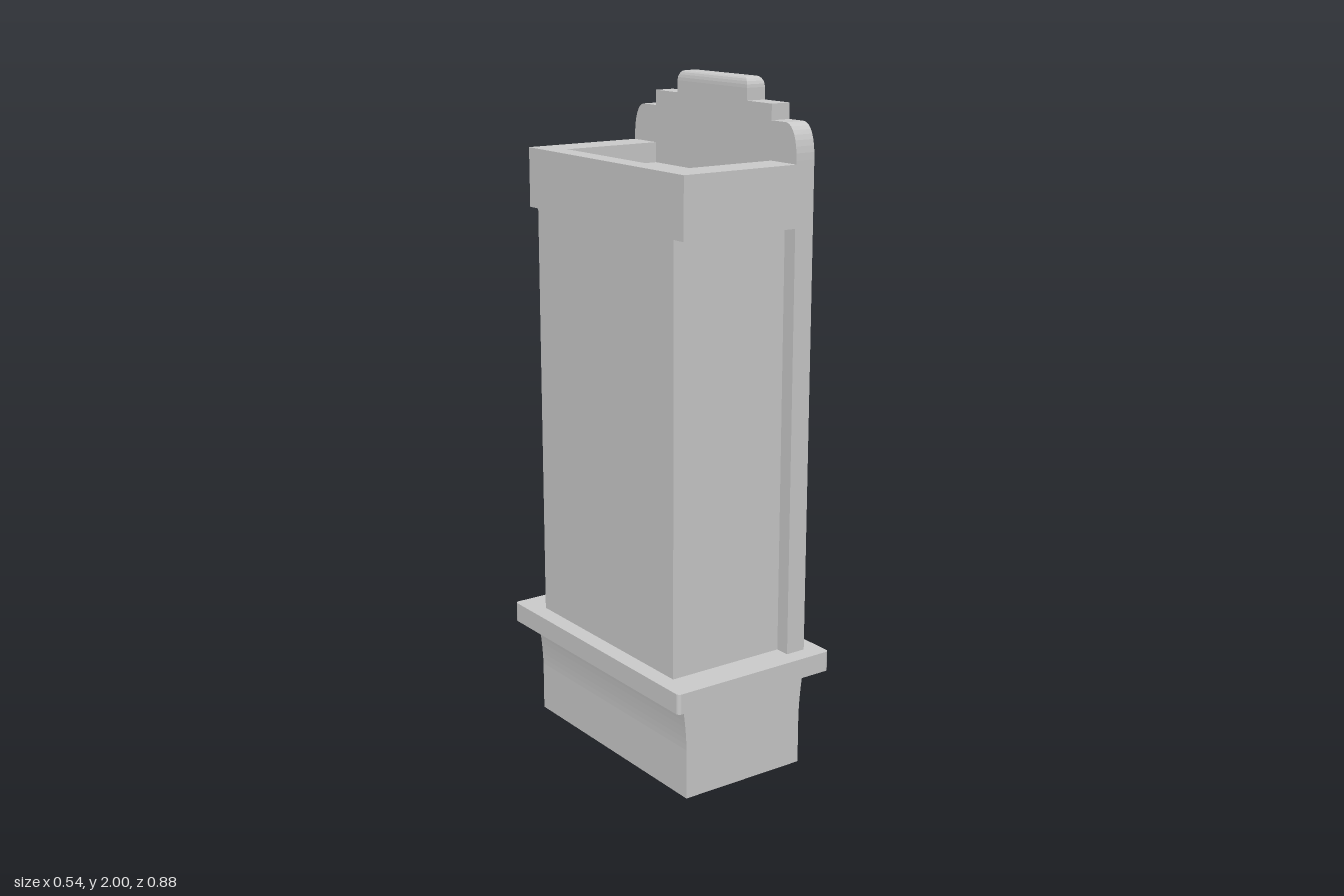
import * as THREE from 'three';

const material = new THREE.MeshStandardMaterial({ color: 0xcccccc });

const shapeOf = (points) => new THREE.Shape(points.map(([x, y]) => new THREE.Vector2(x, y)));

function extrude(shape, depth, options = {}) {
  return new THREE.ExtrudeGeometry(shape, { depth, bevelEnabled: false, curveSegments: 8, ...options });
}

// Plan shape (x, -z) raised from y0 to y1
const raise = (shape, y0, y1) => extrude(shape, y1 - y0).rotateX(-Math.PI / 2).translate(0, y0, 0);

// Elevation shape (z, y) pushed from x0 to x1
const push = (shape, x0, x1) => extrude(shape, x1 - x0).rotateY(Math.PI / 2).translate(x0, 0, 0);

// Box given by its limits, symmetric in z
function block(x0, x1, y0, y1, halfZ) {
  return new THREE.BoxGeometry(x1 - x0, y1 - y0, halfZ * 2)
    .translate((x0 + x1) / 2, (y0 + y1) / 2, 0);
}

function roundedRect(w, h, r) {
  const s = new THREE.Shape();
  s.absarc(w - r, h - r, r, 0, Math.PI / 2);
  s.absarc(-w + r, h - r, r, Math.PI / 2, Math.PI);
  s.absarc(-w + r, -h + r, r, Math.PI, Math.PI * 1.5);
  s.absarc(w - r, -h + r, r, Math.PI * 1.5, Math.PI * 2);
  return s;
}

export function createModel() {
  const group = new THREE.Group();
  const add = (name, geometry) => {
    const mesh = new THREE.Mesh(geometry, material);
    mesh.name = name;
    group.add(mesh);
  };

  const W = 0.385;      // half width of facade, crown and base
  const BACK = -0.22;
  const PLATE = 0.157;  // back of the facade plate
  const FRONT = 0.22;

  // Base: scalloped foot, solid rear foot, flared upper part
  const foot = new THREE.Shape();
  foot.moveTo(-W, 0);
  foot.lineTo(-0.23, 0);
  foot.lineTo(-0.23, 0.075);
  foot.bezierCurveTo(-0.17, 0.095, -0.08, 0.1, 0, 0.07);
  foot.bezierCurveTo(0.08, 0.1, 0.17, 0.095, 0.23, 0.075);
  foot.lineTo(0.23, 0);
  foot.lineTo(W, 0);
  foot.lineTo(W, 0.12);
  foot.lineTo(-W, 0.12);
  add('scallopedFoot', push(foot, -0.12, 0.205));
  add('rearFoot', block(-0.205, -0.12, 0, 0.12, W));

  const flare = new THREE.Shape();
  flare.moveTo(-0.205, 0.12);
  flare.lineTo(0.205, 0.12);
  flare.lineTo(0.205, 0.15);
  flare.quadraticCurveTo(0.207, 0.22, 0.22, 0.295);
  flare.lineTo(-0.22, 0.295);
  flare.quadraticCurveTo(-0.207, 0.22, -0.205, 0.15);
  add('flaredBase', extrude(flare, W * 2).translate(0, 0, -W));

  // Ledge with softened corners
  add('ledge', raise(roundedRect(0.272, 0.4375, 0.012), 0.295, 0.355));

  // Cabinet body, narrower than the facade
  add('body', block(BACK, PLATE, 0.355, 1.605, 0.34));

  // Crown with a shallow tray on top
  add('crown', block(BACK, PLATE, 1.605, 1.72, W));
  const rim = shapeOf([
    [BACK, -W], [PLATE, -W], [PLATE, -0.275], [-0.157, -0.275],
    [-0.157, 0.275], [PLATE, 0.275], [PLATE, W], [BACK, W],
  ]);
  add('crownRim', raise(rim, 1.72, 1.78));

  // Facade plate with rounded shoulders, a step and a window opening
  const facade = new THREE.Shape();
  facade.moveTo(-W, 0.355);
  facade.lineTo(W, 0.355);
  facade.lineTo(W, 1.79);
  facade.bezierCurveTo(W, 1.845, 0.37, 1.885, 0.34, 1.89);
  facade.lineTo(0.275, 1.89);
  facade.lineTo(0.275, 1.935);
  facade.lineTo(-0.275, 1.935);
  facade.lineTo(-0.275, 1.89);
  facade.lineTo(-0.34, 1.89);
  facade.bezierCurveTo(-0.37, 1.885, -W, 1.845, -W, 1.79);
  facade.holes.push(shapeOf([[-0.288, 0.535], [-0.288, 1.605], [0.288, 1.605], [0.288, 0.535]]));
  add('facade', push(facade, PLATE, FRONT));

  // Splayed window jambs
  for (const side of [-1, 1]) {
    const jamb = shapeOf([[FRONT, side * 0.288], [PLATE, side * 0.288], [PLATE, side * 0.24]]);
    add(side < 0 ? 'rightJamb' : 'leftJamb', raise(jamb, 0.535, 1.605));
  }

  // Crest with a softened top; its lower bevel is buried in the facade
  const hx = (FRONT - PLATE) / 2, bevel = 0.012, hz = 0.165 / 2;
  const crest = shapeOf([
    [-hx + bevel, -hz + bevel], [hx - bevel, -hz + bevel],
    [hx - bevel, hz - bevel], [-hx + bevel, hz - bevel],
  ]);
  add('crest', extrude(crest, 0.07, {
    bevelEnabled: true, bevelSize: bevel, bevelThickness: 0.03, bevelSegments: 5,
  }).rotateX(-Math.PI / 2).scale(1, 1, 2).translate((PLATE + FRONT) / 2, 1.9, 0));

  return group;
}
